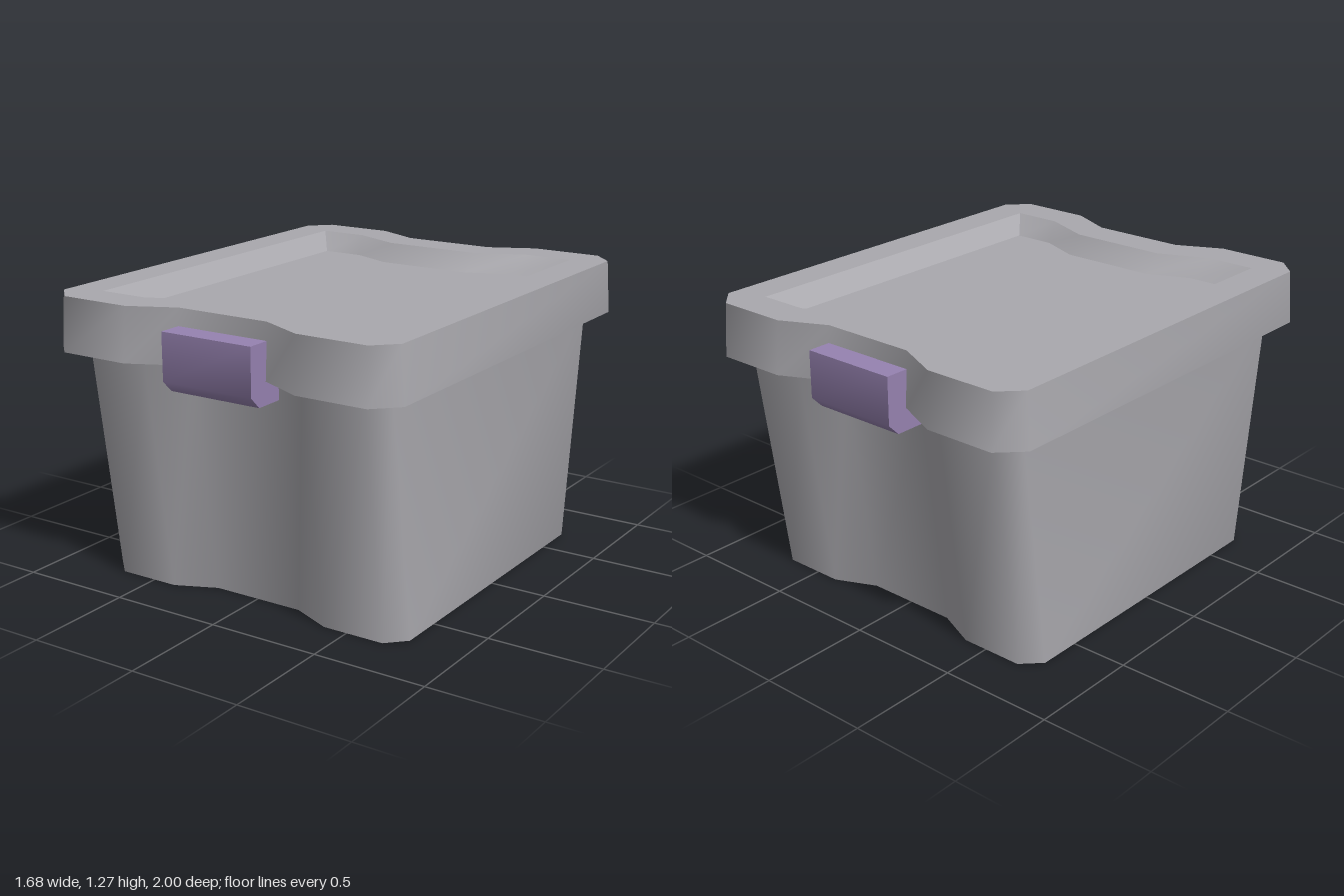
import * as THREE from 'three';
import { mergeGeometries, toCreasedNormals } from 'three/addons/utils/BufferGeometryUtils.js';

const CREASE = 0.87;

// Mirrored outline at height y: chamfered corners, with a notch in the front and back
function outline(y, hx, hz, chamfer, notchOuter, notchInner, depth) {
  const q = [[hx, hz - chamfer], [hx - chamfer, hz], [notchOuter, hz], [notchInner, hz - depth]];
  const r = [...q].reverse();
  return [
    ...q,
    ...r.map(([x, z]) => [-x, z]),
    ...q.map(([x, z]) => [-x, -z]),
    ...r.map(([x, z]) => [x, -z]),
  ].map(([x, z]) => new THREE.Vector3(x, y, z));
}

const centre = (y) => Array.from({ length: 16 }, () => new THREE.Vector3(0, y, 0));

// Joins successive loops with bands; each band is smooth along itself and sharp at its rims
function loft(loops) {
  const bands = [];
  for (let k = 0; k < loops.length - 1; k++) {
    const a = loops[k], b = loops[k + 1], pos = [];
    const tri = (...p) => {
      if (new THREE.Triangle(...p).getArea() > 1e-7) p.forEach((v) => pos.push(v.x, v.y, v.z));
    };
    for (let i = 0; i < a.length; i++) {
      const j = (i + 1) % a.length;
      tri(a[i], b[i], a[j]);
      tri(b[i], b[j], a[j]);
    }
    const g = new THREE.BufferGeometry();
    g.setAttribute('position', new THREE.Float32BufferAttribute(pos, 3));
    bands.push(toCreasedNormals(g, CREASE));
  }
  return mergeGeometries(bands);
}

export function createModel() {
  const grey = new THREE.MeshStandardMaterial({ color: 0xa9a8ad });
  grey.name = 'grey plastic';
  const purple = new THREE.MeshStandardMaterial({ color: 0x9682b0 });
  purple.name = 'purple plastic';

  const group = new THREE.Group();
  group.name = 'storageBox';
  const add = (name, geometry, material) => {
    const mesh = new THREE.Mesh(geometry, material);
    mesh.name = name;
    group.add(mesh);
    return mesh;
  };

  // Tapered tub
  const tubTop = outline(1.04, 0.75, 0.91, 0.08, 0.39, 0.21, 0.09);
  const tubBottom = outline(0, 0.75, 0.77, 0.08, 0.39, 0.21, 0.08);
  add('tub', loft([centre(0), tubBottom, tubTop]), grey);

  // Overhanging lid with a sunken panel
  add('lid', loft([
    tubTop,
    outline(1.04, 0.84, 1.0, 0.1, 0.42, 0.22, 0.095),
    outline(1.275, 0.825, 0.985, 0.09, 0.415, 0.215, 0.095),
    outline(1.275, 0.67, 0.825, 0, 0.45, 0.225, 0.095),
    outline(1.195, 0.6, 0.735, 0, 0.41, 0.22, 0.08),
    centre(1.195),
  ]), grey);

  // Latches hooked under the lid, front and back; profile is (z, y)
  const profile = new THREE.Shape([
    [0.82, 0.945], [0.95, 0.945], [1.0, 0.995], [1.0, 1.2],
    [0.88, 1.2], [0.88, 1.035], [0.82, 1.035],
  ].map(([z, y]) => new THREE.Vector2(z, y)));
  const latch = new THREE.ExtrudeGeometry(profile, { depth: 0.434, bevelEnabled: false });
  latch.translate(0, 0, -0.217).rotateY(-Math.PI / 2);
  const latchGeometry = toCreasedNormals(latch, CREASE);
  add('frontLatch', latchGeometry, purple);
  add('backLatch', latchGeometry, purple).rotation.y = Math.PI;

  return group;
}
